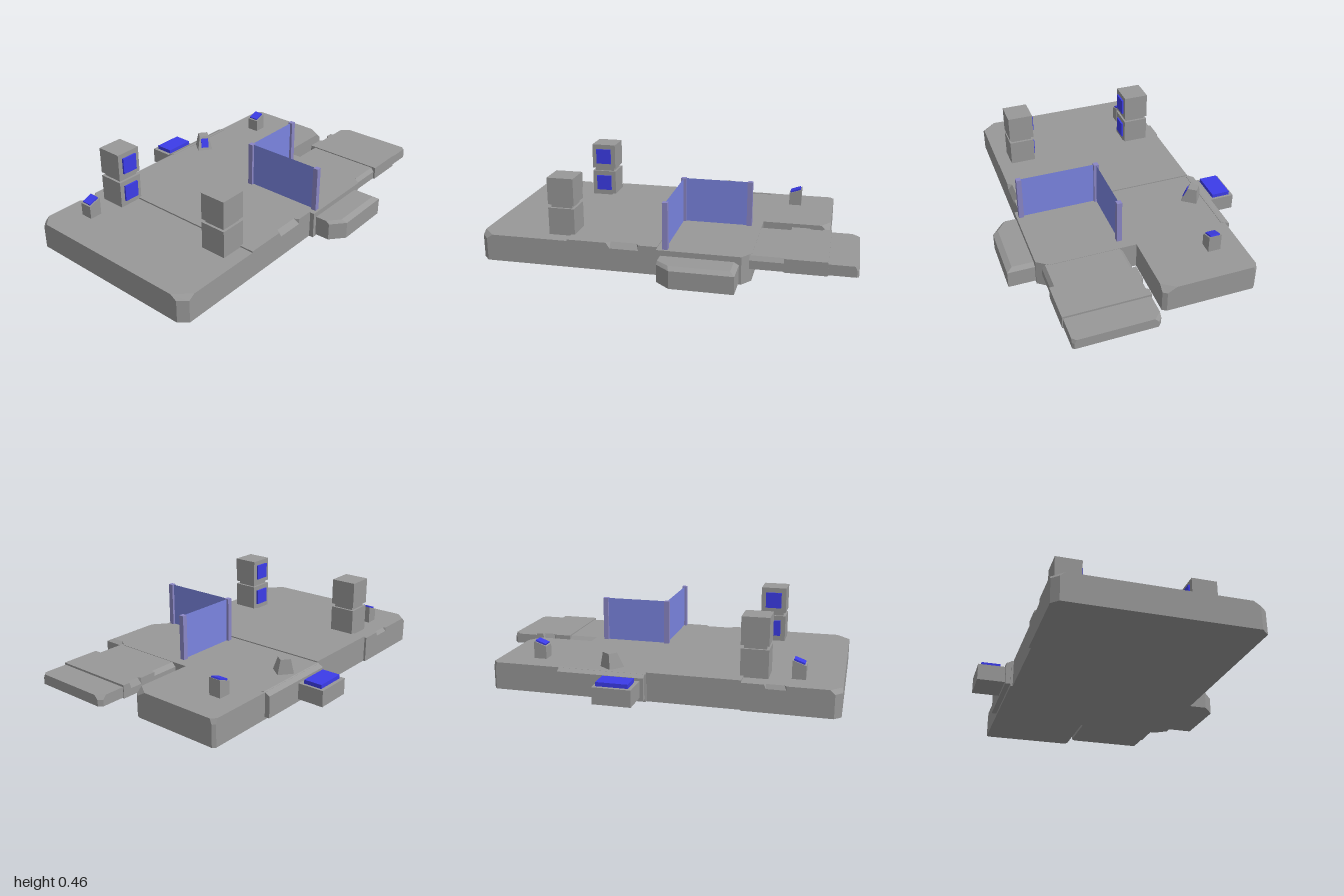
import * as THREE from 'three';

const grey = new THREE.MeshStandardMaterial({ color: 0x989898, flatShading: true });
const blue = new THREE.MeshStandardMaterial({ color: 0x3c3ce8, flatShading: true });
const glass = new THREE.MeshStandardMaterial({ color: 0x7a84e0, flatShading: true, side: THREE.DoubleSide });
const postGlass = new THREE.MeshStandardMaterial({ color: 0x8a86c4, flatShading: true });

// Solid through stacked [y, outline] levels; outlines run back-left, back-right, front-right, front-left
function loft(levels) {
  const pos = [];
  const put = (y, p) => pos.push(p[0], y, p[1]);
  for (let k = 0; k + 1 < levels.length; k++) {
    const [y0, a] = levels[k], [y1, b] = levels[k + 1];
    a.forEach((p, i) => {
      const j = (i + 1) % a.length;
      put(y0, p); put(y1, b[j]); put(y0, a[j]);
      put(y0, p); put(y1, b[i]); put(y1, b[j]);
    });
  }
  const cap = ([y, pts], up) => {
    const v = pts.map(p => new THREE.Vector2(p[0], p[1]));
    for (const [i, j, k] of THREE.ShapeUtils.triangulateShape(v, [])) {
      const facesDown = THREE.ShapeUtils.area([v[i], v[j], v[k]]) > 0;
      for (const n of facesDown === up ? [i, k, j] : [i, j, k]) put(y, pts[n]);
    }
  };
  cap(levels[0], false);
  cap(levels[levels.length - 1], true);
  const g = new THREE.BufferGeometry();
  g.setAttribute('position', new THREE.Float32BufferAttribute(pos, 3));
  g.computeVertexNormals();
  return g;
}

const rect = (x0, x1, z0, z1) => [[x0, z0], [x1, z0], [x1, z1], [x0, z1]];

export function createModel() {
  const model = new THREE.Group();
  model.name = 'model';

  function add(name, geometry, material = grey, parent = model) {
    const mesh = new THREE.Mesh(geometry, material);
    mesh.name = name;
    parent.add(mesh);
    return mesh;
  }
  function box(name, x0, x1, y0, y1, z0, z1, material = grey, parent = model) {
    const mesh = add(name, new THREE.BoxGeometry(x1 - x0, y1 - y0, z1 - z0), material, parent);
    mesh.position.set((x0 + x1) / 2, (y0 + y1) / 2, (z0 + z1) / 2);
  }

  // Front floor slab: chamfered corners and a small nick in the right edge
  const frontOutline = (c, l, nick) => [
    [-0.522, 0.505], [0.522, 0.505], [0.522, 1 - c[0]], [0.522 - c[1], 1],
    [-0.522 + l[0], 1], [-0.522, 1 - l[1]],
    [-0.522, 0.73], [-0.522 + nick, 0.72], [-0.522 + nick, 0.63], [-0.522, 0.62],
  ];
  const frontLow = frontOutline([0.04, 0.045], [0.035, 0.035], 0);
  add('frontFloor', loft([
    [0, frontLow], [0.125, frontLow],
    [0.147, frontOutline([0.075, 0.08], [0.06, 0.06], 0.013)],
  ]));

  // Middle floor slab with a sloped notch in the left edge
  const midOutline = notch => [
    [-0.51, 0.015], [0.522, 0.015], [0.522, 0.115], [0.522 - notch, 0.13],
    [0.522 - notch, 0.27], [0.522, 0.29], [0.522, 0.505], [-0.51, 0.505],
  ];
  add('middleFloor', loft([[0, midOutline(0)], [0.125, midOutline(0)], [0.155, midOutline(0.025)]]));

  // Back floor slab, L-shaped
  const backOutline = (cx, cz, s) => [
    [-0.522 + s, -0.84], [-cx, -0.84], [0.003, -0.84 + cz], [0.003, -0.47],
    [0.485, -0.47], [0.547, -0.425], [0.547, 0.015], [-0.522, 0.015], [-0.522, -0.84 + s],
  ];
  add('backFloor', loft([
    [0, backOutline(0.02, 0.015, 0.015)], [0.12, backOutline(0.02, 0.015, 0.015)],
    [0.149, backOutline(0.07, 0.05, 0.025)],
  ]));

  // Raised walkway at the back left
  const walkway = new THREE.Group();
  walkway.name = 'walkway';
  model.add(walkway);
  const neckLow = rect(0.08, 0.522, -0.64, -0.46);
  add('walkwayNeck', loft([
    [0.08, neckLow], [0.125, neckLow], [0.147, rect(0.1, 0.505, -0.64, -0.46)],
  ]), grey, walkway);
  const bodyOutline = nick => [
    [0.07, -0.85], [0.532, -0.85], [0.532, -0.635], [0.07, -0.635],
    [0.07, -0.73], [0.07 + nick, -0.74], [0.07 + nick, -0.8], [0.07, -0.81],
  ];
  add('walkwayBody', loft([[0.08, bodyOutline(0)], [0.12, bodyOutline(0)], [0.153, bodyOutline(0.015)]]), grey, walkway);
  const endOutline = c => [
    [0.075 + c, -1], [0.527 - c / 2, -1], [0.527, -1 + c / 2],
    [0.527, -0.84], [0.075, -0.84], [0.075, -1 + c],
  ];
  add('walkwayEnd', loft([[0.085, endOutline(0.02)], [0.12, endOutline(0.02)], [0.142, endOutline(0.04)]]), grey, walkway);

  // Left side dock with bevelled outer edges
  const dockLow = [[0.53, -0.413], [0.695, -0.413], [0.695, -0.085], [0.63, -0.008], [0.53, -0.008]];
  const dockTop = [[0.53, -0.388], [0.665, -0.388], [0.665, -0.075], [0.61, -0.008], [0.53, -0.008]];
  add('leftDock', loft([[0.01, dockLow], [0.105, dockLow], [0.12, dockTop]]));

  // Right edge band, side shelf and its blue pad
  const bandLow = rect(-0.55, -0.5, -0.46, 0.01);
  add('rightBand', loft([[0.015, bandLow], [0.135, bandLow], [0.152, rect(-0.515, -0.5, -0.46, 0.01)]]));
  box('rightShelf', -0.7, -0.54, 0.03, 0.12, -0.215, -0.01);
  box('shelfPad', -0.68, -0.575, 0.12, 0.142, -0.2, -0.03, blue);

  // Stacked cube towers with screens facing each other
  for (const [side, x] of [[-1, -0.361], [1, 0.372]]) {
    const tower = new THREE.Group();
    tower.name = side < 0 ? 'rightTower' : 'leftTower';
    tower.position.set(x, 0, 0.558);
    model.add(tower);
    box('towerNeck', -0.058, 0.058, 0.29, 0.32, -0.058, 0.058, grey, tower);
    for (const [y0, y1] of [[0.14, 0.297], [0.316, 0.463]]) {
      box('towerCube', -0.072, 0.072, y0, y1, -0.072, 0.072, grey, tower);
      const sx = -side * 0.076, mid = y1 - 0.073;
      box('towerScreen', sx - 0.006, sx + 0.006, mid - 0.045, mid + 0.045, -0.045, 0.045, blue, tower);
    }
  }

  // Small consoles with sloped blue tops
  for (const z of [0.778, -0.618]) {
    const consoleGroup = new THREE.Group();
    consoleGroup.name = 'console';
    consoleGroup.position.set(-0.363, 0, z);
    model.add(consoleGroup);
    const body = new THREE.BoxGeometry(0.07, 0.1, 0.07);
    const p = body.attributes.position;
    for (let i = 0; i < p.count; i++) {
      p.setY(i, p.getY(i) < 0 ? 0.14 : 0.232 - p.getZ(i) * 0.36);
    }
    body.computeVertexNormals();
    add('consoleBody', body, grey, consoleGroup);
    const pad = add('consolePad', new THREE.BoxGeometry(0.054, 0.012, 0.06), blue, consoleGroup);
    pad.position.y = 0.235;
    pad.rotation.x = Math.atan(0.36);
  }

  // Tapered lectern turned toward the middle, with a screen on its sloped face
  const lectern = new THREE.Group();
  lectern.name = 'lectern';
  lectern.position.set(-0.436, 0, -0.192);
  lectern.rotation.y = 0.91;
  model.add(lectern);
  add('lecternBody', loft([
    [0.145, rect(-0.045, 0.045, -0.046, 0.046)],
    [0.23, rect(-0.028, 0.028, -0.04, 0.012)],
  ]), grey, lectern);
  const screen = add('lecternScreen', new THREE.BoxGeometry(0.044, 0.056, 0.008), blue, lectern);
  screen.position.set(0, 0.19, 0.028);
  screen.rotation.x = -Math.atan(0.034 / 0.085);

  // Glass partition: three posts and two thin panels
  for (const [x, z] of [[0.08, -0.4], [0.08, -0.03], [0.52, -0.03]]) {
    box('glassPost', x - 0.014, x + 0.014, 0.145, 0.4, z - 0.014, z + 0.014, postGlass);
  }
  const frontPane = add('frontGlass', new THREE.PlaneGeometry(0.412, 0.252), glass);
  frontPane.position.set(0.3, 0.272, -0.03);
  const sidePane = add('sideGlass', new THREE.PlaneGeometry(0.342, 0.252), glass);
  sidePane.position.set(0.08, 0.272, -0.215);
  sidePane.rotation.y = Math.PI / 2;

  return model;
}
